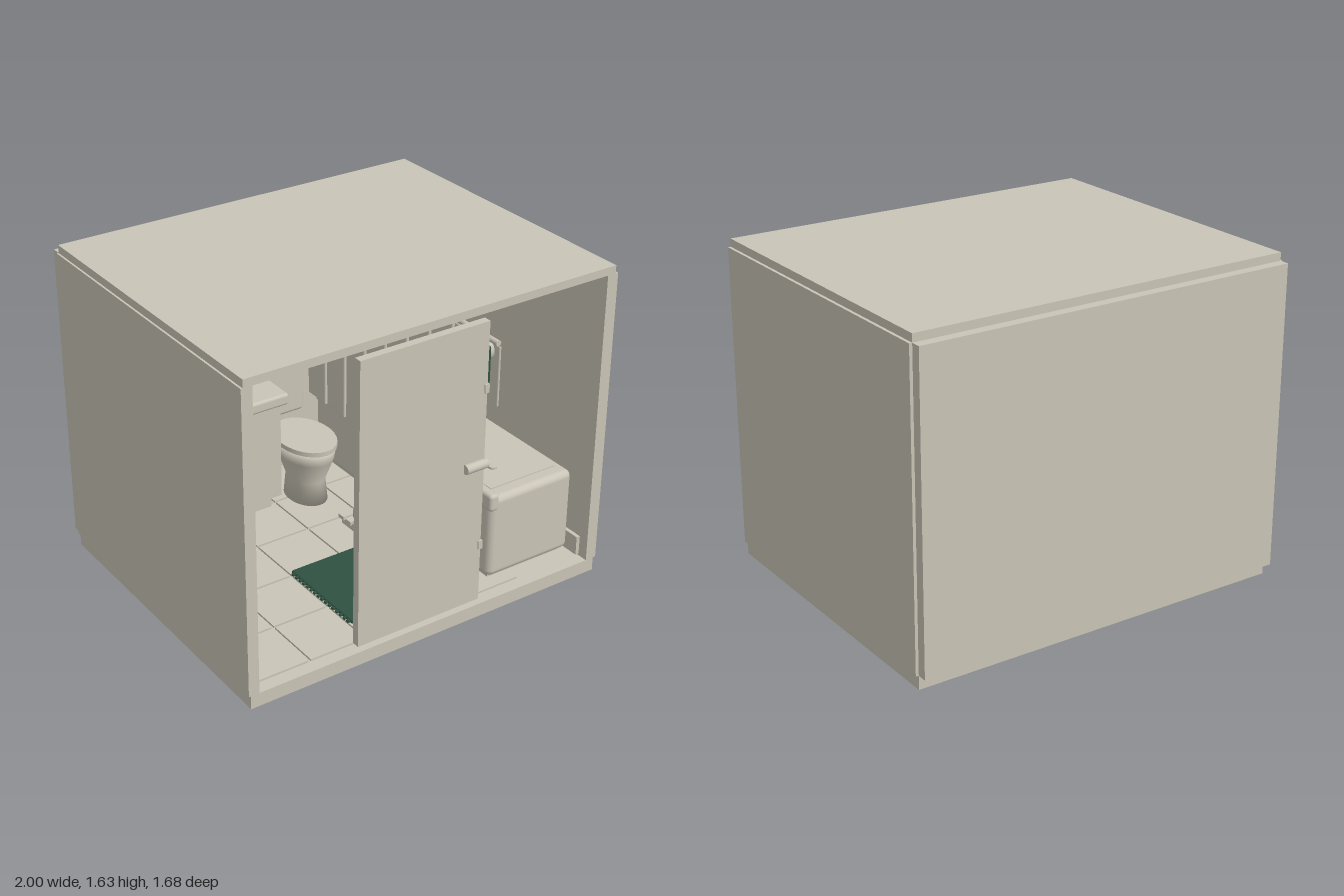
import * as THREE from 'three';
import { RoundedBoxGeometry } from 'three/addons/geometries/RoundedBoxGeometry.js';

const stone = new THREE.MeshStandardMaterial({ color: 0xc9c4b6 });
stone.name = 'warm stone';
const green = new THREE.MeshStandardMaterial({ color: 0x2f5242 });
green.name = 'dark green';

export function createModel() {
  const model = new THREE.Group();
  model.name = 'bathroom';

  const add = (name, geometry, x, y, z, material = stone) => {
    const mesh = new THREE.Mesh(geometry, material);
    mesh.name = name;
    mesh.position.set(x, y, z);
    model.add(mesh);
    return mesh;
  };
  // Box given by its extents on each axis; a radius rounds its edges
  const box = (name, [x0, x1], [y0, y1], [z0, z1], material = stone, radius = 0) => {
    const size = [x1 - x0, y1 - y0, z1 - z0];
    const geometry = radius
      ? new RoundedBoxGeometry(...size, 3, radius)
      : new THREE.BoxGeometry(...size);
    return add(name, geometry, (x0 + x1) / 2, (y0 + y1) / 2, (z0 + z1) / 2, material);
  };
  // Cylinder centred on a point, lying along the given axis
  const rod = (name, axis, r, length, x, y, z, material = stone) => {
    const geometry = new THREE.CylinderGeometry(r, r, length, 24);
    if (axis === 'x') geometry.rotateZ(Math.PI / 2);
    if (axis === 'z') geometry.rotateX(Math.PI / 2);
    return add(name, geometry, x, y, z, material);
  };
  const lathe = (name, profile, x, y, z, material = stone) =>
    add(name, new THREE.LatheGeometry(profile.map((p) => new THREE.Vector2(...p)), 36), x, y, z, material);

  // Room shell
  box('floorSlab', [-0.99, 0.985], [0, 0.07], [-0.79, 0.825]);
  box('ceiling', [-0.99, 0.985], [1.595, 1.635], [-0.79, 0.825]);
  box('leftWall', [0.94, 1], [0.07, 1.595], [-0.79, 0.825]);
  box('rightWall', [-1, -0.945], [0.07, 1.595], [-0.79, 0.825]);
  box('backWall', [-0.99, 0.985], [0.07, 1.595], [-0.84, -0.79]);

  // Floor tiles
  for (let i = 0; i < 5; i++) {
    for (let j = 0; j < 5; j++) {
      const x = -0.93 + i * 0.3, z = -0.78 + j * 0.31;
      box('floorTile', [x, x + 0.288], [0.07, 0.08], [z, z + 0.298]);
    }
  }

  // Skirting boards
  box('rightSkirting', [-0.945, -0.92], [0.08, 0.165], [-0.79, 0.77]);
  box('leftSkirting', [0.92, 0.94], [0.08, 0.18], [-0.79, 0.77]);
  box('backSkirting', [-0.92, 0.92], [0.08, 0.165], [-0.79, -0.77]);

  // Door with lever and hinges
  box('door', [-0.405, 0.285], [0.085, 1.54], [0.765, 0.805]);
  rod('doorHandle', 'x', 0.024, 0.12, 0.23, 0.83, 0.814);
  for (const y of [0.39, 1.21]) box('hinge', [0.268, 0.292], [y - 0.022, y + 0.022], [0.77, 0.812]);

  // Vanity with drawers, cupboard and worktop
  box('vanityCarcass', [-0.91, -0.04], [0.165, 0.7], [-0.79, -0.41]);
  box('vanityPlinth', [-0.88, -0.07], [0.08, 0.165], [-0.79, -0.45]);
  for (const [y0, y1] of [[0.17, 0.42], [0.435, 0.69]]) {
    box('drawerFront', [-0.91, -0.515], [y0, y1], [-0.41, -0.39]);
  }
  box('cupboardDoor', [-0.49, -0.045], [0.17, 0.69], [-0.41, -0.39]);
  for (const y of [0.385, 0.64]) rod('drawerHandle', 'x', 0.014, 0.155, -0.712, y, -0.37);
  box('worktop', [-0.945, -0.01], [0.695, 0.757], [-0.79, -0.36], stone, 0.015);

  // Basin, drain and tap
  const basin = lathe('basin', [[0, 0.012], [0.08, 0.008], [0.15, 0.02], [0.185, 0.045], [0.2, 0.045],
    [0.2, 0.02], [0.12, 0], [0, 0]].reverse(), -0.48, 0.755, -0.57);
  basin.scale.z = 0.9;
  rod('drain', 'y', 0.025, 0.01, -0.48, 0.772, -0.57);
  rod('tapBase', 'y', 0.035, 0.08, -0.48, 0.785, -0.755);
  rod('tapPost', 'y', 0.015, 0.12, -0.48, 0.82, -0.755);
  rod('tapSpout', 'z', 0.015, 0.12, -0.48, 0.86, -0.7);
  rod('tapLever', 'x', 0.014, 0.105, -0.482, 0.872, -0.755);
  for (const x of [-0.58, -0.38]) rod('tapKnob', 'z', 0.015, 0.05, x, 0.83, -0.765);

  // Jar and soap dispenser
  rod('jar', 'y', 0.048, 0.24, -0.78, 0.875, -0.6);
  rod('jarLid', 'y', 0.05, 0.035, -0.78, 1.01, -0.6, green);
  rod('soapBottle', 'y', 0.032, 0.195, -0.67, 0.853, -0.5, green);
  rod('pumpNeck', 'y', 0.01, 0.05, -0.67, 0.97, -0.5);
  box('pumpSpout', [-0.683, -0.62], [0.987, 1.002], [-0.51, -0.49]);

  // Bath towel on its rail
  rod('towelRail', 'z', 0.014, 0.5, -0.9, 1.17, 0.39);
  for (const z of [0.14, 0.63]) {
    rod('railPost', 'x', 0.012, 0.05, -0.92, 1.17, z);
    rod('railFlange', 'x', 0.033, 0.015, -0.934, 1.17, z);
  }
  box('towelFront', [-0.92, -0.855], [0.69, 1.16], [0.16, 0.56], green, 0.025);
  box('towelBack', [-0.915, -0.86], [0.61, 1.1], [0.18, 0.54], green, 0.02);

  // Toilet against the back wall
  box('toiletTank', [-0.03 + 0.05, 0.27], [0.45, 0.74], [-0.79, -0.66], stone, 0.02);
  const bowl = lathe('toiletBowl', [[0, 0], [0.1, 0], [0.09, 0.12], [0.13, 0.25], [0.14, 0.32], [0, 0.32]],
    0.145, 0.08, -0.46);
  bowl.scale.z = 1.4;
  const seat = rod('toiletSeat', 'y', 0.145, 0.025, 0.145, 0.413, -0.46);
  seat.scale.z = 1.4;

  // Bin beside the bath
  rod('binFoot', 'y', 0.1, 0.04, 0.25, 0.16, 0, green);
  rod('bin', 'y', 0.07, 0.49, 0.23, 0.425, 0, green);

  // Bath mat with a fringe
  box('bathMat', [-0.32, 0.31], [0.075, 0.095], [0.12, 0.64], green, 0.009);
  for (let i = 0; i < 16; i++) {
    const z = 0.14 + i * 0.031;
    for (const x of [-0.322, 0.312]) box('matFringe', [x - 0.01, x + 0.01], [0.08, 0.09], [z, z + 0.016], green);
  }

  // Slatted bath step
  for (let i = 0; i < 5; i++) {
    const z = -0.12 + i * 0.06;
    box('stepSlat', [0.12, 0.42], [0.12, 0.14], [z, z + 0.045]);
  }
  for (const x of [0.14, 0.36]) box('stepRunner', [x, x + 0.04], [0.08, 0.12], [-0.12, 0.165]);

  // Bathtub, rim and plug
  box('bathtub', [0.41, 0.91], [0.1, 0.54], [-0.76, 0.72], stone, 0.035);
  box('bathPlinth', [0.44, 0.88], [0.08, 0.12], [-0.73, 0.68]);
  box('bathRim', [0.37, 0.425], [0.505, 0.595], [-0.76, 0.765], stone, 0.018);
  box('bathSurface', [0.47, 0.86], [0.539, 0.545], [-0.7, 0.64]);
  rod('bathPlug', 'y', 0.022, 0.012, 0.6, 0.55, 0.49);

  // Bath spout, mixer and hand shower bar
  rod('bathSpout', 'x', 0.023, 0.115, 0.88, 0.713, 0);
  rod('mixerPlate', 'x', 0.058, 0.03, 0.924, 0.89, 0);
  rod('showerBar', 'y', 0.007, 0.33, 0.92, 0.785, 0.12);

  // Curtain rail with pleated curtain
  rod('curtainRail', 'z', 0.014, 1.58, 0.35, 1.405, 0);
  for (let i = 0; i < 16; i++) {
    const z = 0.66 - i * 0.086, x = i % 2 ? 0.345 : 0.335;
    box('curtainPleat', [x - 0.01, x + 0.01], [0.505, 1.395], [z - 0.086, z], stone, 0.008);
  }

  // Hand towel on the curtain rail
  box('handTowel', [0.3, 0.343], [1.15, 1.385], [0.64, 0.76], green, 0.018);

  return model;
}
